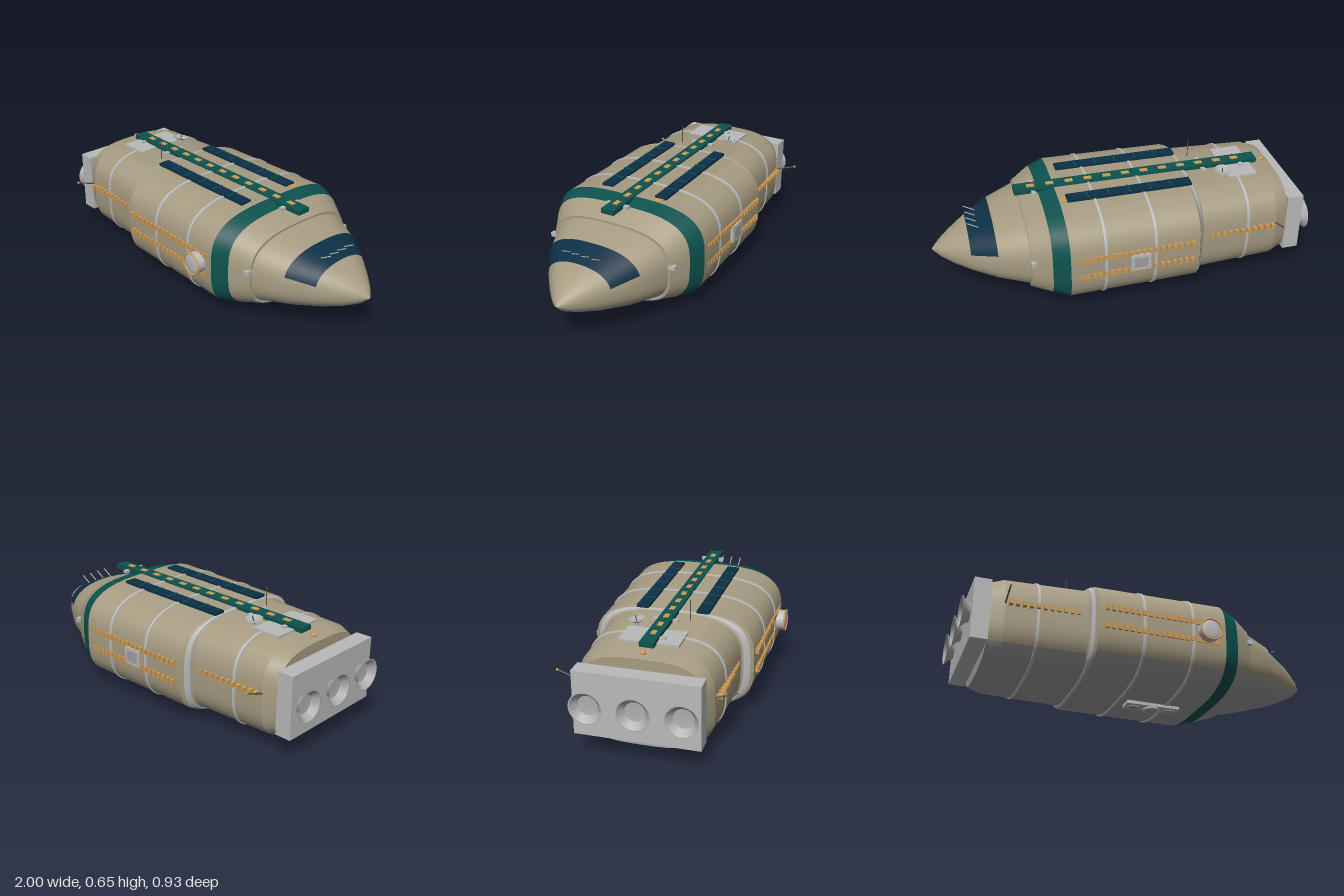
import * as THREE from 'three';
import { toCreasedNormals } from 'three/addons/utils/BufferGeometryUtils.js';

const mat = (name, color, side = THREE.FrontSide) => {
  const m = new THREE.MeshStandardMaterial({ color, side });
  m.name = name;
  return m;
};
const ZC = -0.02; // hull centreline

// Hull stations: x, bottom y, top y, half width, superellipse exponent
const HULL = [
  [-0.87, 0.065, 0.515, 0.305, 3.3], [-0.8, 0.045, 0.535, 0.335, 3.3],
  [-0.38, 0.04, 0.543, 0.36, 3.3], [-0.345, 0.035, 0.55, 0.42, 3.3],
  [0.34, 0.03, 0.555, 0.433, 3.3], [0.425, 0.05, 0.535, 0.395, 3.2], [0.525, 0.075, 0.482, 0.34, 3],
];
const NOSE = [
  [0.525, 0.088, 0.472, 0.328, 2.9], [0.68, 0.115, 0.433, 0.265, 2.6],
  [0.81, 0.145, 0.383, 0.18, 2.35], [0.9, 0.178, 0.335, 0.108, 2.2],
  [0.96, 0.212, 0.295, 0.052, 2.1], [1.0, 0.25, 0.255, 0.004, 2],
];

// Hull station at any x, grown outward by o
function stationAt(list, x, o = 0) {
  let i = 0;
  while (i < list.length - 2 && x > list[i + 1][0]) i++;
  const a = list[i], b = list[i + 1], t = (x - a[0]) / (b[0] - a[0]);
  const s = a.map((v, k) => v + (b[k] - v) * t);
  return [x, s[1] - o, s[2] + o, s[3] + o, s[4]];
}
function sectionPoint([x, lo, hi, w, n], ang) {
  const p = (v) => Math.sign(v) * Math.pow(Math.abs(v), 2 / n);
  return [x, (lo + hi) / 2 + (hi - lo) / 2 * p(Math.sin(ang)), ZC + w * p(Math.cos(ang))];
}
// Skin across stations between two angles in degrees (0 = +z side, 90 = top)
function loft(stations, d0, d1) {
  const segs = Math.max(8, Math.round(Math.abs(d1 - d0) / 5)), pos = [], idx = [];
  stations.forEach((s, i) => {
    for (let j = 0; j <= segs; j++) {
      pos.push(...sectionPoint(s, THREE.MathUtils.degToRad(d0 + (d1 - d0) * j / segs)));
      if (i && j) {
        const c = i * (segs + 1) + j, d = c - 1, b = c - segs - 1, a = b - 1;
        idx.push(a, d, c, a, c, b);
      }
    }
  });
  const g = new THREE.BufferGeometry();
  g.setAttribute('position', new THREE.Float32BufferAttribute(pos, 3));
  g.setIndex(idx);
  return toCreasedNormals(g, 0.33);
}

export function createModel() {
  const root = new THREE.Group();
  root.name = 'spaceship';
  const tan = mat('hull tan', 0xa79c82), belly = mat('belly grey', 0xa0a0a0);
  const light = mat('light grey', 0xbababa), teal = mat('teal', 0x0d524e);
  const navy = mat('navy glass', 0x0c3045), amber = mat('amber', 0xcf9a52);
  const metal = mat('bell metal', 0xb0b0b0, THREE.DoubleSide), dark = mat('dark metal', 0x55585a);

  const add = (name, geo, m, x = 0, y = 0, z = 0) => {
    const mesh = new THREE.Mesh(geo, m);
    mesh.name = name;
    mesh.position.set(x, y, z);
    root.add(mesh);
    return mesh;
  };
  const box = (name, m, w, h, d, x, y, z) => add(name, new THREE.BoxGeometry(w, h, d), m, x, y, z);
  const rod = (name, m, a, b, r) => {
    const A = new THREE.Vector3(...a), B = new THREE.Vector3(...b), dir = B.clone().sub(A);
    const mesh = add(name, new THREE.CylinderGeometry(r, r, dir.length(), 8), m);
    mesh.position.copy(A).add(B).multiplyScalar(0.5);
    mesh.quaternion.setFromUnitVectors(new THREE.Vector3(0, 1, 0), dir.normalize());
  };

  // Hull and nose: tan upper skin, grey belly
  const rear = [[-0.87, 0.289, 0.291, 0.001, 3.3], ...HULL.slice(0, 5)];
  const collar = [...HULL.slice(5), NOSE[0]];
  for (const [name, part] of [['hull', rear], ['collar', collar], ['nose', NOSE]]) {
    add(name, loft(part, -30, 210), tan);
    add(name + 'Belly', loft(part, 210, 330), belly);
  }
  add('tealBand', loft([HULL[4], HULL[5]], -90, 270), teal);
  add('cockpitWindow', loft([stationAt(NOSE, 0.68, 0.004), stationAt(NOSE, 0.81, 0.004)], 15, 165), navy);

  // Hoops around the body
  for (const x of [-0.635, -0.365, -0.105, 0.158]) {
    const ref = x === -0.365 ? -0.345 : x;
    const ring = [[-0.008, 0], [-0.007, 0.005], [0.007, 0.005], [0.008, 0]].map(([dx, o]) => {
      const s = stationAt(HULL, x === ref ? x + dx : x + dx, o);
      return s;
    });
    add('hoop', loft(ring, -90, 270), light);
  }

  // Engine block and bells
  box('engineBlock', light, 0.087, 0.33, 0.62, -0.912, 0.295, ZC);
  const bell = [[0.045, 0], [0.052, 0.015], [0.066, 0.03], [0.084, 0.046], [0.078, 0.046], [0.05, 0.012], [0, 0.008]]
    .map(([r, h]) => new THREE.Vector2(r, h));
  for (const dz of [-0.23, 0, 0.23]) {
    add('engineBell', toCreasedNormals(new THREE.LatheGeometry(bell, 32), 0.6), metal, -0.954, 0.295, ZC + dz)
      .rotation.z = Math.PI / 2;
  }

  // Cabin windows on both flanks
  for (const s of [1, -1]) {
    for (let i = 0; i < 19; i++) {
      const x = -0.303 + i * 0.0328;
      for (const y of [0.25, 0.35]) box('cabinWindow', amber, i < 10 ? 0.017 : 0.024, 0.028, 0.03, x, y, ZC + s * 0.421);
    }
    for (let i = 0; i < 11; i++) box('rearWindow', amber, 0.018, 0.022, 0.04, -0.775 + i * 0.0345, 0.328, ZC + s * 0.346);
    // Thruster nubs and rear marker booms
    box('thrusterNub', light, 0.025, 0.022, 0.04, 0.515, 0.32, ZC + s * 0.345);
    rod('markerBoom', dark, [-0.8, 0.325, ZC + s * 0.32], [-0.8, 0.37, ZC + s * 0.445], 0.004);
    add('markerLight', new THREE.SphereGeometry(0.007, 10, 8), amber, -0.8, 0.37, ZC + s * 0.447);
  }

  // Spine plank with dashes and clamps
  box('spine', teal, 1.335, 0.025, 0.072, -0.118, 0.548, ZC);
  for (let i = 0; i < 12; i++) box('spineDash', amber, 0.042, 0.004, 0.026, -0.668 + i * 0.1025, 0.562, ZC);
  for (const x of [-0.69, -0.475, 0.235, 0.45]) {
    box('spineClamp', light, 0.022, 0.016, 0.128, x, 0.544, ZC);
  }

  // Roof panels with dividers
  for (const s of [1, -1]) {
    const z = ZC + s * 0.157;
    box('roofPanel', navy, 0.665, 0.014, 0.064, -0.033, 0.555, z);
    for (let i = 1; i < 6; i++) box('panelDivider', teal, 0.007, 0.004, 0.066, -0.365 + i * 0.111, 0.563, z);
  }
  box('roofLamp', amber, 0.034, 0.012, 0.04, 0.318, 0.549, -0.18);

  // Rear roof hatch, dish, mast and beacon
  box('roofHatch', light, 0.16, 0.02, 0.3, -0.663, 0.534, -0.025);
  rod('dishPost', light, [-0.56, 0.53, -0.145], [-0.56, 0.56, -0.145], 0.01);
  const dishProfile = [[0, 0], [0.025, 0.004], [0.045, 0.016]].map((p) => new THREE.Vector2(...p));
  add('dish', new THREE.LatheGeometry(dishProfile, 24), metal, -0.56, 0.556, -0.14).rotation.x = -0.15;
  rod('dishFeed', dark, [-0.56, 0.558, -0.142], [-0.555, 0.588, -0.15], 0.003);
  rod('mast', dark, [-0.44, 0.53, 0.095], [-0.44, 0.648, 0.095], 0.0025);
  add('beacon', new THREE.SphereGeometry(0.013, 12, 8), amber, -0.83, 0.53, ZC);

  // Sensor rods above the cockpit
  for (const z of [0.065, 0.01, -0.045, -0.1]) rod('sensorRod', light, [0.74, 0.395, z], [0.81, 0.436, z], 0.003);

  // Left docking port
  const port = add('dockingPort', new THREE.CylinderGeometry(0.054, 0.058, 0.06, 32), light, 0.24, 0.298, 0.424);
  port.rotation.x = Math.PI / 2;
  add('portRing', new THREE.TorusGeometry(0.057, 0.005, 10, 36), amber, 0.24, 0.298, 0.456);
  add('portDome', new THREE.SphereGeometry(0.052, 28, 12), light, 0.24, 0.298, 0.452).scale.z = 0.17;

  // Right side hatch
  box('sideHatch', light, 0.105, 0.09, 0.035, -0.022, 0.295, -0.446);
  box('hatchPlate', belly, 0.07, 0.06, 0.006, -0.022, 0.295, -0.463);

  // Belly docking plate
  box('bellyPlate', light, 0.295, 0.025, 0.085, 0.087, 0.028, ZC);
  add('bellyPort', new THREE.CylinderGeometry(0.036, 0.034, 0.016, 28), belly, 0.087, 0.01, ZC);
  add('bellyRing', new THREE.TorusGeometry(0.036, 0.008, 10, 32), light, 0.087, 0.008, ZC).rotation.x = Math.PI / 2;
  for (const dx of [-0.1, 0.1]) box('bellyLatch', belly, 0.05, 0.006, 0.04, 0.087 + dx, 0.014, ZC);

  return root;
}
